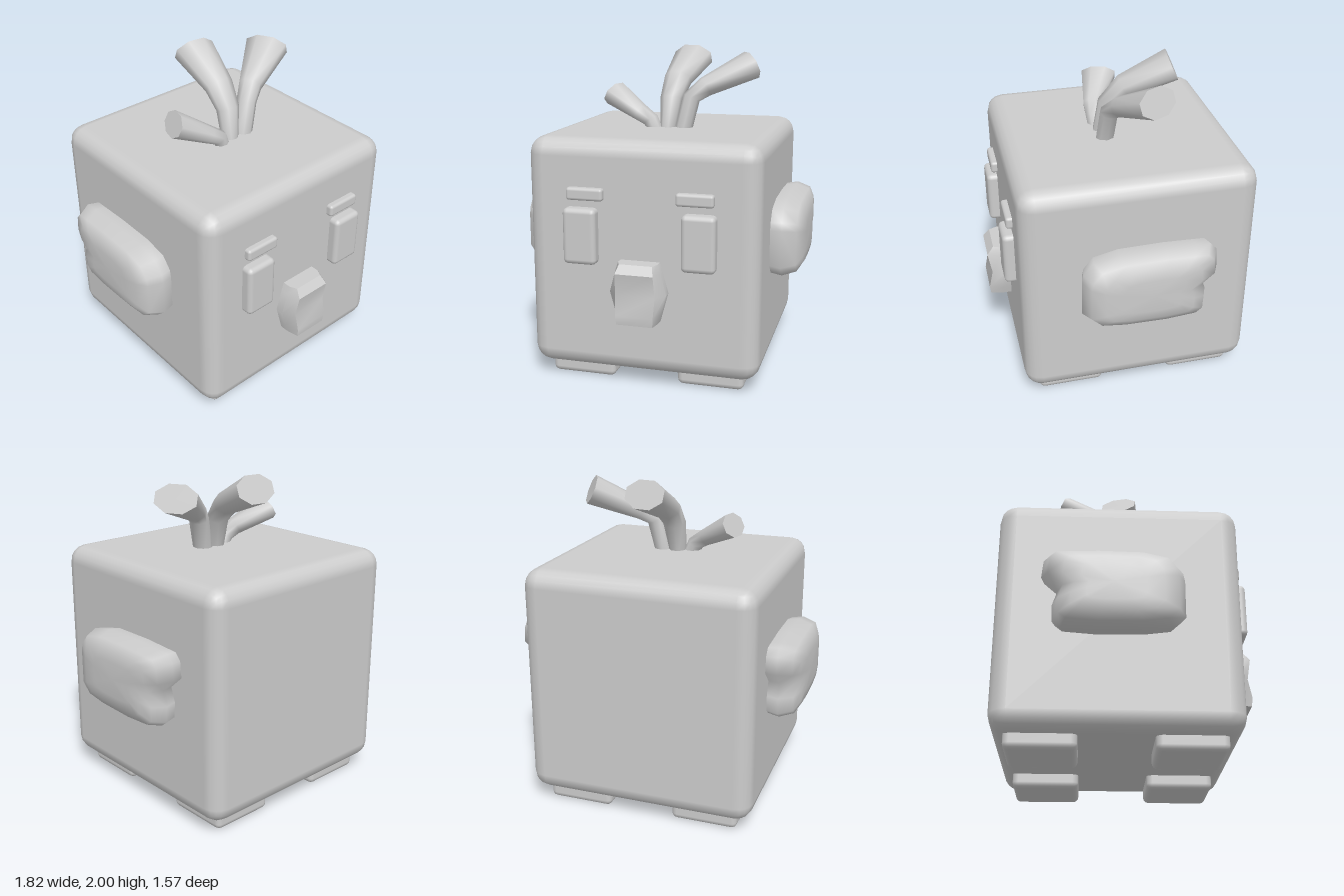
import * as THREE from 'three';
import { toCreasedNormals } from 'three/addons/utils/BufferGeometryUtils.js';
import { RoundedBoxGeometry } from 'three/addons/geometries/RoundedBoxGeometry.js';

const V = (x, y, z) => new THREE.Vector3(x, y, z);

// Skin closed rings (counter-clockwise seen from the far end) and cap both ends
function loft(rings) {
  const n = rings[0].length, last = rings.length - 1;
  const points = rings.flat(), index = [];
  for (let i = 0; i < last; i++) {
    for (let j = 0; j < n; j++) {
      const k = (j + 1) % n;
      const a = i * n + j, b = i * n + k, c = b + n, d = a + n;
      index.push(a, b, c, a, c, d);
    }
  }
  [0, last].forEach((r) => {
    const base = points.length;
    const centre = V(0, 0, 0);
    rings[r].forEach((p) => centre.addScaledVector(p, 1 / n));
    points.push(centre, ...rings[r]);
    for (let j = 0; j < n; j++) {
      const a = base + 1 + j, b = base + 1 + (j + 1) % n;
      if (r) index.push(base, a, b);
      else index.push(base, b, a);
    }
  });
  const geo = new THREE.BufferGeometry().setFromPoints(points);
  geo.setIndex(index);
  geo.computeVertexNormals();
  return geo;
}

// Flared, bent tuft: flattened octagonal sections along a path, open flare at the tip
function tuft(path, widths, heights) {
  const travel = path[path.length - 1].clone().sub(path[0]);
  const side = V(-travel.z, 0, travel.x).normalize();
  return loft(path.map((p, i) => {
    const dir = path[Math.min(i + 1, path.length - 1)].clone().sub(path[Math.max(i - 1, 0)]).normalize();
    const up = dir.clone().cross(side).normalize();
    return Array.from({ length: 8 }, (_, j) => {
      const a = (j + 0.5) * Math.PI / 4;
      return p.clone().addScaledVector(side, Math.cos(a) * widths[i] * 1.05)
        .addScaledVector(up, Math.sin(a) * heights[i] * 1.05);
    });
  }));
}

export function createModel() {
  const group = new THREE.Group();
  const grey = new THREE.MeshStandardMaterial({ color: 0xcccccc });
  grey.name = 'light grey';

  const add = (name, geo) => {
    const mesh = new THREE.Mesh(geo, grey);
    mesh.name = name;
    group.add(mesh);
    return mesh;
  };
  const block = (name, size, pos, radius, segments = 2) =>
    add(name, new RoundedBoxGeometry(...size, segments, radius)).position.set(...pos);

  // Cube body
  block('body', [1.42, 1.425, 1.43], [0, 0.8025, -0.07], 0.105);

  // Eyes, brows and four feet
  for (const s of [1, -1]) {
    const label = s > 0 ? 'left' : 'right';
    block(label + 'Eye', [0.205, 0.34, 0.115], [s * 0.36, 0.94, 0.655], 0.03);
    block(label + 'Brow', [0.226, 0.076, 0.085], [s * 0.333, 1.192, 0.642], 0.018);
    block(label + 'FrontFoot', [0.41, 0.14, 0.41], [s * 0.405, 0.075, 0.345], 0.035);
    block(label + 'BackFoot', [0.41, 0.14, 0.41], [s * 0.405, 0.075, -0.495], 0.035);
  }

  // Beak: rows of [y, half width, front half width, front z]
  const beakRows = [
    [0.445, 0.125, 0.11, 0.775], [0.5, 0.14, 0.115, 0.782], [0.62, 0.173, 0.12, 0.757],
    [0.755, 0.137, 0.115, 0.78], [0.805, 0.12, 0.1, 0.74],
  ];
  const beak = loft(beakRows.map(([y, w, f, z]) => [
    V(-w, y, 0.6), V(-w, y, 0.695), V(-f, y, z), V(f, y, z), V(w, y, 0.695), V(w, y, 0.6),
  ]));
  add('beak', toCreasedNormals(beak, 0.75));

  // Wings: notched outline [z, y], swelling outwards in rows of [x, scale]
  const outline = [
    [0.305, 0.95], [0.305, 0.72], [0.235, 0.655], [0.08, 0.635], [-0.2, 0.63], [-0.4, 0.645],
    [-0.445, 0.68], [-0.45, 0.78], [-0.42, 0.87], [-0.515, 0.955], [-0.505, 1.06], [-0.465, 1.105],
    [-0.38, 1.108], [-0.2, 1.115], [0.08, 1.11], [0.235, 1.075], [0.295, 1.0],
  ];
  const wingRows = [[0.66, 0.95], [0.71, 0.96], [0.78, 1], [0.865, 0.9], [0.897, 0.7], [0.907, 0.45], [0.908, 0.03]];
  const wing = loft(wingRows.map(([x, k]) =>
    outline.map(([z, y]) => V(x, 0.875 + (y - 0.875) * k, -0.1 + (z + 0.1) * k))));
  add('leftWing', wing);
  add('rightWing', wing).scale.x = -1;

  // Three tufts on top
  add('middleTuft', tuft(
    [V(-0.005, 1.46, 0.01), V(0.01, 1.69, -0.03), V(0.025, 1.8, -0.13), V(0.06, 1.93, -0.415)],
    [0.045, 0.07, 0.088, 0.13], [0.055, 0.06, 0.07, 0.09]));
  add('leftTuft', tuft(
    [V(0.09, 1.46, 0.01), V(0.145, 1.7, -0.01), V(0.22, 1.765, -0.06), V(0.49, 1.9, -0.205)],
    [0.058, 0.06, 0.07, 0.135], [0.05, 0.052, 0.06, 0.088]));
  add('rightTuft', tuft(
    [V(-0.07, 1.46, 0.02), V(-0.11, 1.555, 0.03), V(-0.18, 1.6, 0.02), V(-0.382, 1.71, -0.065)],
    [0.045, 0.05, 0.058, 0.11], [0.045, 0.048, 0.052, 0.075]));

  return group;
}
